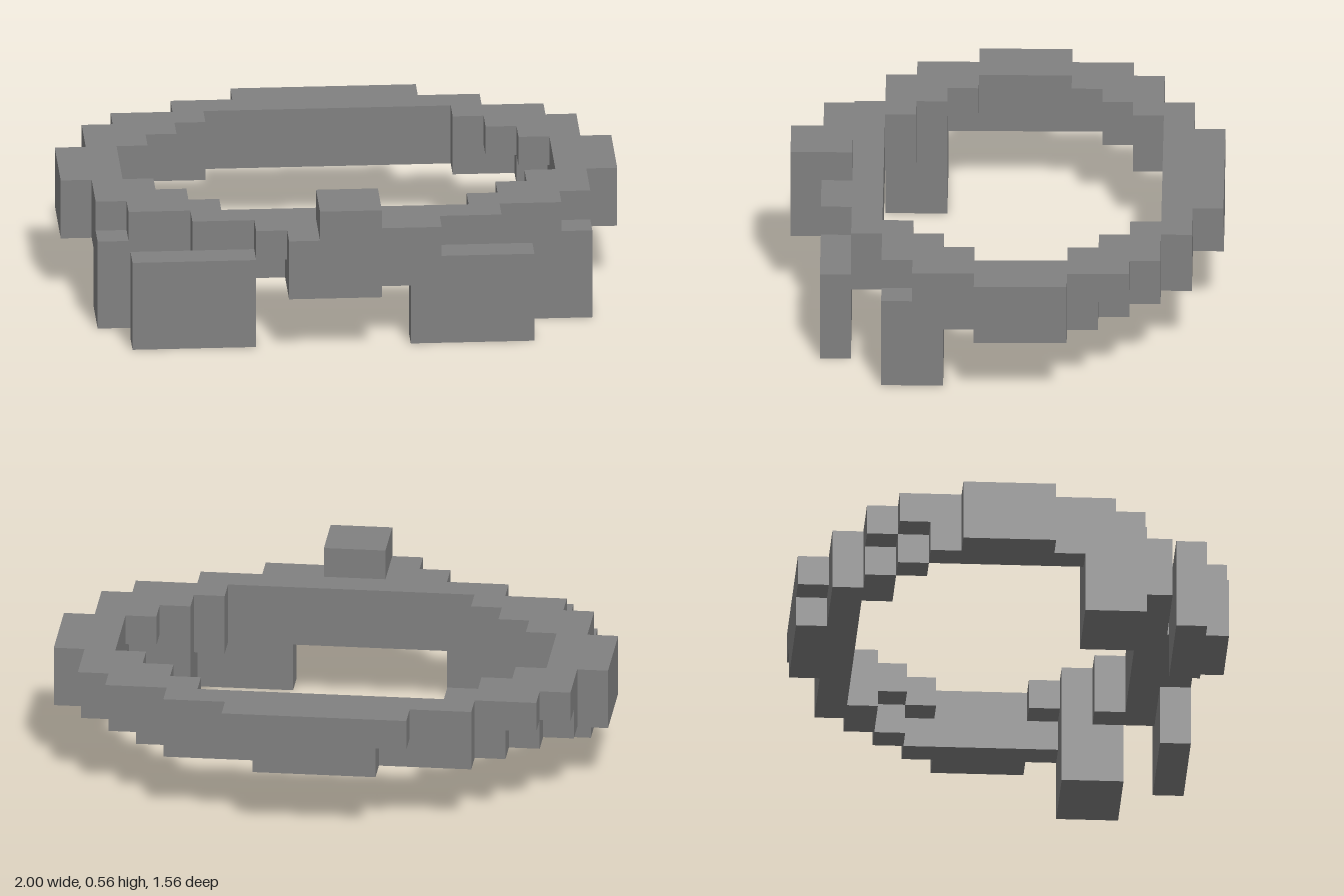
import * as THREE from 'three';

const U = 1 / 9; // one block

export function createModel() {
  const model = new THREE.Group();
  model.name = 'blockBand';
  const grey = new THREE.MeshStandardMaterial({ color: 0x808080 });
  grey.name = 'grey';

  // Box from its block limits on each axis
  function block(name, [x0, x1], [y0, y1], [z0, z1]) {
    const geo = new THREE.BoxGeometry((x1 - x0) * U, (y1 - y0) * U, (z1 - z0) * U);
    const mesh = new THREE.Mesh(geo, grey);
    mesh.name = name;
    mesh.position.set((x0 + x1) / 2 * U, (y0 + y1) / 2 * U, (z0 + z1) / 2 * U);
    model.add(mesh);
  }

  // Stepped ring: rows of [zStart, zEnd, inner x, outer x], mirrored left and right
  function ring(name, y, rows) {
    for (const [z0, z1, inner, outer] of rows) {
      if (inner === 0) {
        block(name, [-outer, outer], y, [z0, z1]);
      } else {
        block(name, [inner, outer], y, [z0, z1]);
        block(name, [-outer, -inner], y, [z0, z1]);
      }
    }
  }

  ring('upperRing', [3, 4], [
    [-7, -6, 0, 3], [-6, -5, 0, 5], [-5, -4, 4, 7], [-4, -3, 5, 8], [-3, -2, 6, 8],
    [-2, 1, 7, 9],
    [1, 2, 6, 8], [2, 3, 5, 8], [3, 4, 4, 7], [4, 5, 0, 5], [5, 6, 0, 3],
  ]);
  ring('lowerRing', [2, 3], [
    [-7, -6, 0, 2], [-6, -5, 0, 5], [-5, -4, 4, 6], [-4, -3, 6, 7], [-3, -2, 7, 8],
    [-2, 1, 7, 9],
    [1, 2, 7, 8], [3, 4, 4, 5], [4, 5, 0, 5], [5, 6, 0, 2],
  ]);

  // Side pouches hanging from the front corners
  for (const s of [-1, 1]) {
    block('sidePouch', s > 0 ? [5, 8] : [-8, -5], [0, 3], [2, 4]);
  }

  // Thin front plates
  block('rightFrontPlate', [-7, -3], [0, 3], [5, 6]);
  block('leftFrontPlate', [2, 6], [0, 3], [5, 6]);

  // Buckle with its raised top
  block('buckle', [-2, 1], [2, 4], [6, 7]);
  block('buckleTop', [-1, 1], [4, 5], [5, 7]);

  return model;
}
